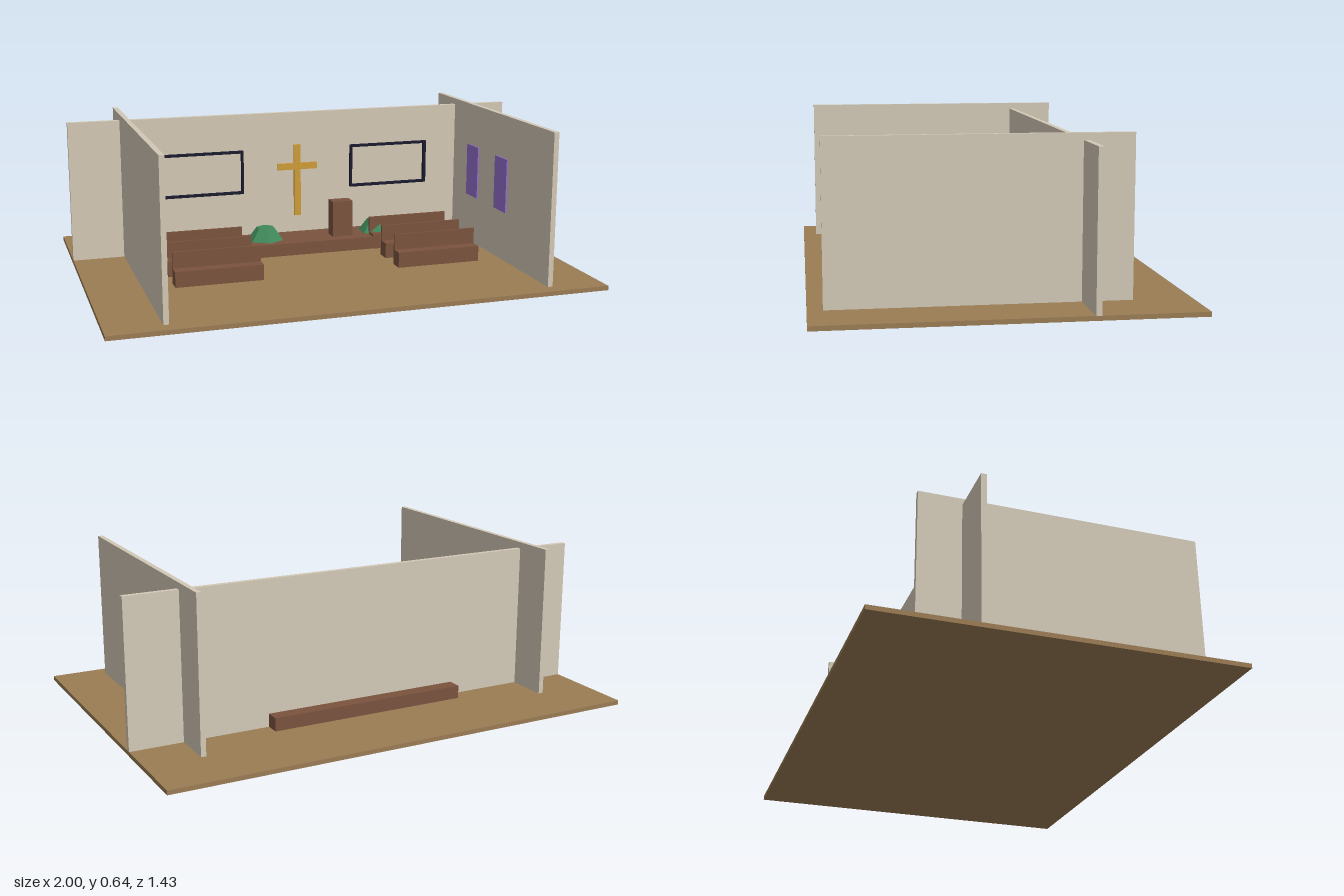
import * as THREE from 'three';

const mat = (name, color) => {
  const m = new THREE.MeshStandardMaterial({ color });
  m.name = name;
  return m;
};

export function createModel() {
  const root = new THREE.Group();
  root.name = 'chapel';

  const floorTan = mat('floor tan', 0x9a7c54);
  const plaster = mat('plaster', 0xd2c8b5);
  const wood = mat('brown wood', 0x7a533e);
  const gold = mat('gold', 0xcf9c38);
  const navy = mat('dark navy', 0x1a1a2e);
  const leaf = mat('leaf green', 0x40885a);
  const violet = mat('violet glass', 0x9470cc);

  // Box given by its low and high limits on each axis
  const box = (parent, name, material, [x0, x1], [y0, y1], [z0, z1]) => {
    const mesh = new THREE.Mesh(new THREE.BoxGeometry(x1 - x0, y1 - y0, z1 - z0), material);
    mesh.position.set((x0 + x1) / 2, (y0 + y1) / 2, (z0 + z1) / 2);
    mesh.name = name;
    parent.add(mesh);
    return mesh;
  };
  const group = (name) => {
    const g = new THREE.Group();
    g.name = name;
    root.add(g);
    return g;
  };
  // Mirrors an x interval to the chosen side
  const side = (s, a, b) => (s > 0 ? [a, b] : [-b, -a]);

  const floorY = 0.018, stageY = 0.072;

  box(root, 'floor', floorTan, [-1, 1], [0, floorY], [-0.713, 0.713]);
  box(root, 'backWall', plaster, [-1, 1], [floorY, 0.615], [-0.313, -0.291]);
  box(root, 'stage', wood, [-0.425, 0.425], [floorY, stageY], [-0.373, -0.092]);
  box(root, 'lectern', wood, [0.122, 0.214], [stageY, 0.23], [-0.205, -0.145]);

  // Cross hung on the back wall
  const cross = group('cross');
  box(cross, 'crossPost', gold, [-0.015, 0.015], [0.148, 0.47], [-0.291, -0.281]);
  box(cross, 'crossArm', gold, [-0.09, 0.09], [0.358, 0.387], [-0.291, -0.2805]);

  for (const s of [-1, 1]) {
    const label = s > 0 ? 'left' : 'right';
    box(root, label + 'Wall', plaster, side(s, 0.761, 0.782), [floorY, 0.642], [-0.485, 0.655]);

    // Tall windows on the inner wall face
    for (const z of [-0.075, 0.21])
      box(root, label + 'Window', violet, side(s, 0.755, 0.761), [0.23, 0.46], [z - 0.057, z + 0.057]);

    // Hollow picture frame on the back wall
    const frame = group(label + 'Frame');
    const z = [-0.291, -0.277];
    box(frame, 'frameTop', navy, side(s, 0.247, 0.614), [0.445, 0.456], z);
    box(frame, 'frameBottom', navy, side(s, 0.247, 0.614), [0.263, 0.274], z);
    box(frame, 'frameInnerSide', navy, side(s, 0.247, 0.257), [0.274, 0.445], z);
    box(frame, 'frameOuterSide', navy, side(s, 0.601, 0.614), [0.274, 0.445], z);

    // Rows of pews: block seat with a thin backrest
    for (const back of [-0.15, 0.009, 0.165]) {
      const pew = group(label + 'Pew');
      box(pew, 'pewSeat', wood, side(s, 0.292, 0.656), [floorY, 0.083], [back, back + 0.061]);
      box(pew, 'pewBack', wood, side(s, 0.292, 0.656), [0.083, 0.15], [back, back + 0.01]);
    }
  }

  // Low six-sided shrubs on the stage
  for (const x of [-0.174, 0.341]) {
    const shrub = new THREE.Mesh(new THREE.CylinderGeometry(0.04, 0.08, 0.054, 6).toNonIndexed(), leaf);
    shrub.geometry.computeVertexNormals();
    shrub.position.set(x, 0.101, -0.19);
    shrub.name = 'shrub';
    root.add(shrub);
  }
  return root;
}
